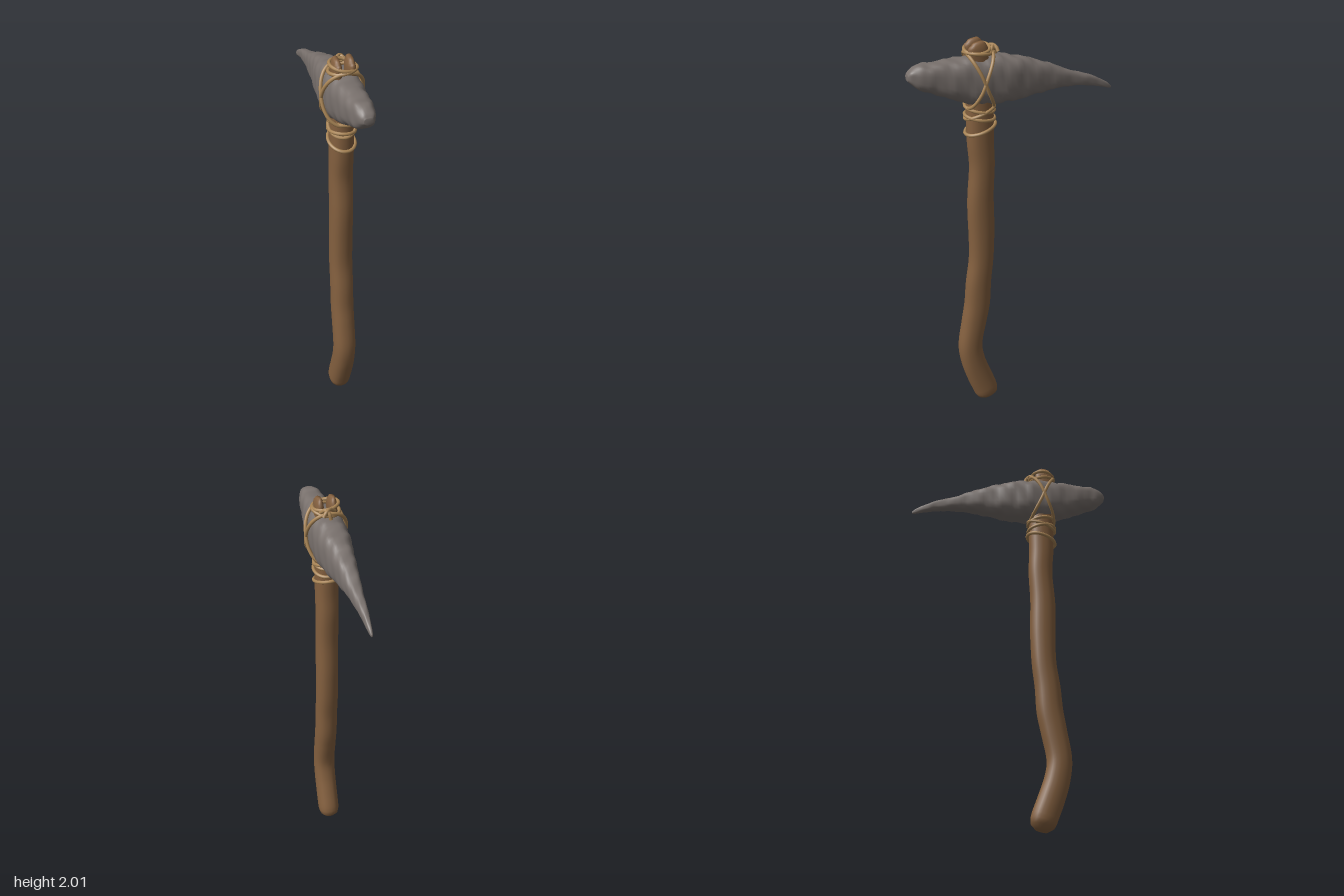
import * as THREE from 'three';

const wood = new THREE.MeshStandardMaterial({ color: 0x84603f });
wood.name = 'wood';
const stone = new THREE.MeshStandardMaterial({ color: 0x78706c });
stone.name = 'stone';
const cord = new THREE.MeshStandardMaterial({ color: 0xa88455 });
cord.name = 'cord';

// Skin a list of rings (arrays of Vector3, counter-clockwise about the travel direction), with end caps
function loft(rings) {
  const n = rings[0].length, pos = [], idx = [];
  rings.forEach(r => r.forEach(p => pos.push(p.x, p.y, p.z)));
  for (let i = 0; i < rings.length - 1; i++) {
    for (let j = 0; j < n; j++) {
      const a = i * n + j, b = i * n + (j + 1) % n;
      idx.push(a, b, b + n, a, b + n, a + n);
    }
  }
  [0, rings.length - 1].forEach(i => {
    const c = new THREE.Vector3();
    rings[i].forEach(p => c.addScaledVector(p, 1 / n));
    const k = pos.length / 3;
    pos.push(c.x, c.y, c.z);
    for (let j = 0; j < n; j++) {
      const a = i * n + j, b = i * n + (j + 1) % n;
      if (i === 0) idx.push(k, b, a); else idx.push(k, a, b);
    }
  });
  const g = new THREE.BufferGeometry();
  g.setAttribute('position', new THREE.Float32BufferAttribute(pos, 3));
  g.setIndex(idx);
  g.computeVertexNormals();
  return g;
}

// Rounded-box curve point on the unit circle
function superPoint(a, e) {
  const f = v => Math.sign(v) * Math.pow(Math.abs(v), 2 / e);
  return [f(Math.cos(a)), f(Math.sin(a))];
}

// Limb swept along a path in the y-z plane; width(t) returns [half x, half depth]
function limb(points, x, width, steps, sides) {
  const curve = new THREE.CatmullRomCurve3(points.map(([y, z]) => new THREE.Vector3(x, y, z)));
  const U = new THREE.Vector3(1, 0, 0), rings = [];
  for (let i = 0; i <= steps; i++) {
    const t = i / steps, T = curve.getTangentAt(t), c = curve.getPointAt(t);
    const V = new THREE.Vector3().crossVectors(T, U).normalize();
    const [w, d] = width(t), ring = [];
    for (let j = 0; j < sides; j++) {
      const [cx, cy] = superPoint(j / sides * Math.PI * 2, 2.3);
      ring.push(c.clone().addScaledVector(U, cx * w).addScaledVector(V, cy * d));
    }
    rings.push(ring);
  }
  return loft(rings);
}

function buildHandle() {
  const path = [[0.005, 0.15], [0.06, 0.163], [0.15, 0.196], [0.25, 0.228], [0.35, 0.242],
    [0.5, 0.218], [0.6, 0.2], [0.73, 0.19], [0.86, 0.174], [1.0, 0.17], [1.2, 0.172],
    [1.38, 0.162], [1.5, 0.168], [1.7, 0.17], [1.8, 0.18]];
  return limb(path, 0, t => {
    const end = Math.min(1, t / 0.032);
    const r = 0.5 + 0.5 * Math.sqrt(1 - (1 - end) ** 2);
    return [0.056 * r, (0.064 + 0.002 * Math.sin(t * 23)) * r];
  }, 80, 20);
}

// Stone stations: z, half width, top, bottom
const stations = [
  [-0.522, 0.004, 1.688, 1.676], [-0.5, 0.009, 1.708, 1.679], [-0.45, 0.015, 1.737, 1.694],
  [-0.4, 0.02, 1.762, 1.705], [-0.3, 0.031, 1.795, 1.718], [-0.2, 0.045, 1.84, 1.716],
  [-0.1, 0.058, 1.878, 1.703], [0, 0.075, 1.908, 1.692], [0.1, 0.085, 1.924, 1.69],
  [0.2, 0.083, 1.93, 1.699], [0.3, 0.073, 1.925, 1.732], [0.4, 0.06, 1.92, 1.776],
  [0.46, 0.05, 1.918, 1.798], [0.5, 0.036, 1.9, 1.832], [0.518, 0.02, 1.88, 1.85]];

function buildHead() {
  const place = new THREE.CatmullRomCurve3(stations.map(s => new THREE.Vector3(s[0], 0, 0)), false, 'catmullrom');
  const size = new THREE.CatmullRomCurve3(stations.map(s => new THREE.Vector3(s[1], s[2], s[3])), false, 'catmullrom');
  const rings = [], steps = 84, sides = 32;
  for (let i = 0; i <= steps; i++) {
    const z = place.getPoint(i / steps).x, s = size.getPoint(i / steps);
    const mid = (s.y + s.z) / 2, half = (s.y - s.z) / 2, ring = [];
    for (let j = 0; j < sides; j++) {
      const a = j / sides * Math.PI * 2, [cx, cy] = superPoint(a, 2.7);
      // chipped surface
      const chip = 1 + 0.022 * Math.sin(z * 47 + 3 * a) + 0.018 * Math.sin(z * 83 - 5 * a + 1)
        + 0.012 * Math.sin(z * 120 + 2 * a + 2);
      ring.push(new THREE.Vector3(cx * s.x * chip, mid + cy * half * chip, z));
    }
    rings.push(ring);
  }
  return loft(rings);
}

// Closed cord following fn(angle) -> [x, y, z]
function cordLoop(fn, radius = 0.0085) {
  const pts = [];
  for (let i = 0; i < 28; i++) pts.push(new THREE.Vector3(...fn(i / 28 * Math.PI * 2)));
  return new THREE.TubeGeometry(new THREE.CatmullRomCurve3(pts, true), 84, radius, 8, true);
}

export function createModel() {
  const group = new THREE.Group();
  const add = (name, geo, mat) => {
    const m = new THREE.Mesh(geo, mat);
    m.name = name;
    group.add(m);
  };

  add('handle', buildHandle(), wood);
  add('stoneHead', buildHead(), stone);

  // Split top of the handle, poking through the stone
  for (const s of [-1, 1]) {
    const path = [[1.78, 0.18], [1.88, 0.182], [1.95, 0.184], [1.985, 0.183], [2.0, 0.186]];
    add(s > 0 ? 'leftProng' : 'rightProng', limb(path, s * 0.032, t => {
      const k = t > 0.8 ? 1 - 0.5 * ((t - 0.8) / 0.2) ** 2 : 1;
      return [0.021 * k, 0.05 * k];
    }, 20, 14), wood);
  }

  // Crossed lashings around the stone
  for (const s of [-1, 1]) {
    add(s > 0 ? 'crossLashingFront' : 'crossLashingBack', cordLoop(a => {
      const [cx, cy] = superPoint(a, 2.3);
      return [cx * 0.098, 1.815 + cy * 0.132, 0.172 + s * 0.063 * Math.sin(a)];
    }), cord);
  }

  // Wraps around handle and prongs: y, slope along x, slope along z, half x, half z, centre z
  const wraps = [
    [1.675, -0.01, 0.012, 0.06, 0.071, 0.17], [1.652, 0.008, -0.026, 0.061, 0.072, 0.17],
    [1.632, -0.006, 0.012, 0.062, 0.072, 0.17], [1.572, -0.004, -0.022, 0.062, 0.074, 0.168],
    [1.962, -0.01, -0.004, 0.06, 0.06, 0.178], [1.942, 0.008, 0.008, 0.064, 0.064, 0.176]];
  wraps.forEach(([y, sx, sz, rx, rz, cz], i) => {
    add('cordWrap' + (i + 1), cordLoop(a =>
      [Math.cos(a) * rx, y + Math.cos(a) * sx + Math.sin(a) * sz, cz + Math.sin(a) * rz]), cord);
  });

  // Knot with two loose ends behind the prongs
  const tail = pts => new THREE.TubeGeometry(
    new THREE.CatmullRomCurve3(pts.map(p => new THREE.Vector3(...p))), 20, 0.0085, 8);
  add('knotTailLeft', tail([[-0.03, 1.95, 0.125], [0.0, 1.972, 0.108], [0.022, 1.965, 0.092], [0.036, 1.945, 0.086]]), cord);
  add('knotTailRight', tail([[0.04, 1.95, 0.128], [0.018, 1.968, 0.106], [0.006, 1.955, 0.09], [0.0, 1.93, 0.086]]), cord);
  const knot = new THREE.SphereGeometry(0.014, 12, 8);
  knot.translate(0.014, 1.962, 0.101);
  add('knot', knot, cord);

  return group;
}
